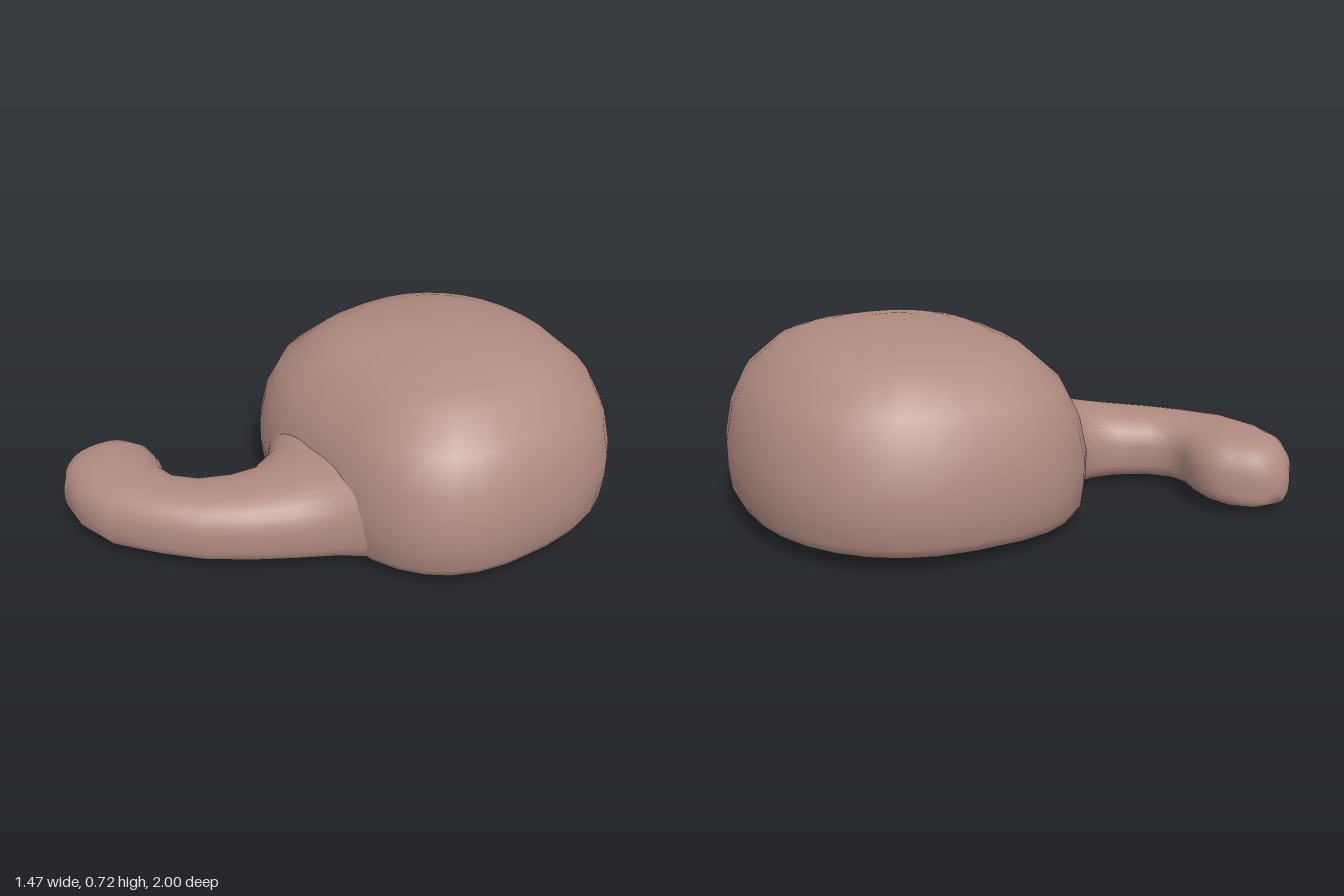
import * as THREE from 'three';
import { mergeVertices } from 'three/addons/utils/BufferGeometryUtils.js';

const SIDES = 32;
const power = (v, p) => Math.sign(v) * Math.abs(v) ** (2 / p);

// Skin a list of equal rings of [x, y, z] points into one smooth surface
function loft(rings) {
  const index = [];
  for (let i = 0; i < rings.length - 1; i++) {
    for (let j = 0; j < SIDES; j++) {
      const k = (j + 1) % SIDES;
      const a = i * SIDES + j, b = a + SIDES, c = i * SIDES + k, d = c + SIDES;
      index.push(a, b, c, b, d, c);
    }
  }
  let geometry = new THREE.BufferGeometry();
  geometry.setAttribute('position', new THREE.Float32BufferAttribute(rings.flat(2), 3));
  geometry.setIndex(index);
  geometry = mergeVertices(geometry, 1e-4);
  geometry.computeVertexNormals();
  return geometry;
}

const ring = (point) =>
  Array.from({ length: SIDES }, (_, j) => point((j / SIDES) * Math.PI * 2));

// Dome: rounded-square rings, wider corners at the front, flat underside
function domeGeometry() {
  const profile = [ // scale, height
    [0, 0.02], [0.6, 0.02], [0.86, 0.033], [0.95, 0.06], [0.985, 0.1], [1, 0.19],
    [1, 0.28], [0.96, 0.41], [0.87, 0.53], [0.69, 0.635], [0.55, 0.67],
    [0.4, 0.695], [0.2, 0.715], [0, 0.72],
  ];
  return loft(profile.map(([s, y]) => ring((a) => {
    const p = Math.sin(a) > 0 ? 2.8 : 2.2;
    const z = -0.37 + 0.63 * s * power(Math.sin(a), p);
    return [0.035 + 0.695 * s * power(Math.cos(a), p), y - 0.02 * (z + 0.37), z];
  })));
}

// Tail: sections spanning from the inner edge to the outer edge of the curl
function tailGeometry() {
  const sections = [ // inner x, z, outer x, z, bottom, top
    [-0.45, 0.08, 0.52, 0.08, 0.03, 0.5],
    [-0.32, 0.2, 0.4, 0.2, 0.01, 0.42],
    [-0.23, 0.28, 0.3, 0.28, 0.005, 0.345],
    [-0.2, 0.37, 0.22, 0.41, 0.012, 0.305],
    [-0.22, 0.46, 0.13, 0.56, 0.02, 0.288],
    [-0.27, 0.56, 0.02, 0.71, 0.025, 0.28],
    [-0.335, 0.62, -0.11, 0.83, 0.027, 0.28],
    [-0.41, 0.625, -0.27, 0.95, 0.027, 0.283],
    [-0.49, 0.6, -0.44, 0.995, 0.027, 0.287],
    [-0.57, 0.597, -0.58, 0.985, 0.027, 0.286],
    [-0.64, 0.625, -0.66, 0.945, 0.03, 0.268],
    [-0.69, 0.69, -0.71, 0.9, 0.035, 0.235],
    [-0.725, 0.77, -0.73, 0.87, 0.05, 0.17],
    [-0.735, 0.82, -0.735, 0.82, 0.1, 0.1],
  ];
  return loft(sections.map(([ix, iz, ox, oz, low, high]) => ring((a) => {
    const under = Math.sin(a) > 0;
    const t = 0.5 + 0.5 * power(Math.cos(a), under ? 3.2 : 2.4);
    const mid = low + (high - low) * 0.42;
    const y = mid - power(Math.sin(a), under ? 3.2 : 2.4) * (under ? mid - low : high - mid);
    return [ix + (ox - ix) * t, y, iz + (oz - iz) * t];
  })));
}

export function createModel() {
  const group = new THREE.Group();
  const material = new THREE.MeshStandardMaterial({ color: 0xb08b80 });
  const add = (name, geometry) => {
    const mesh = new THREE.Mesh(geometry, material);
    mesh.name = name;
    group.add(mesh);
  };
  add('domeBody', domeGeometry());
  add('curledTail', tailGeometry());
  return group;
}
